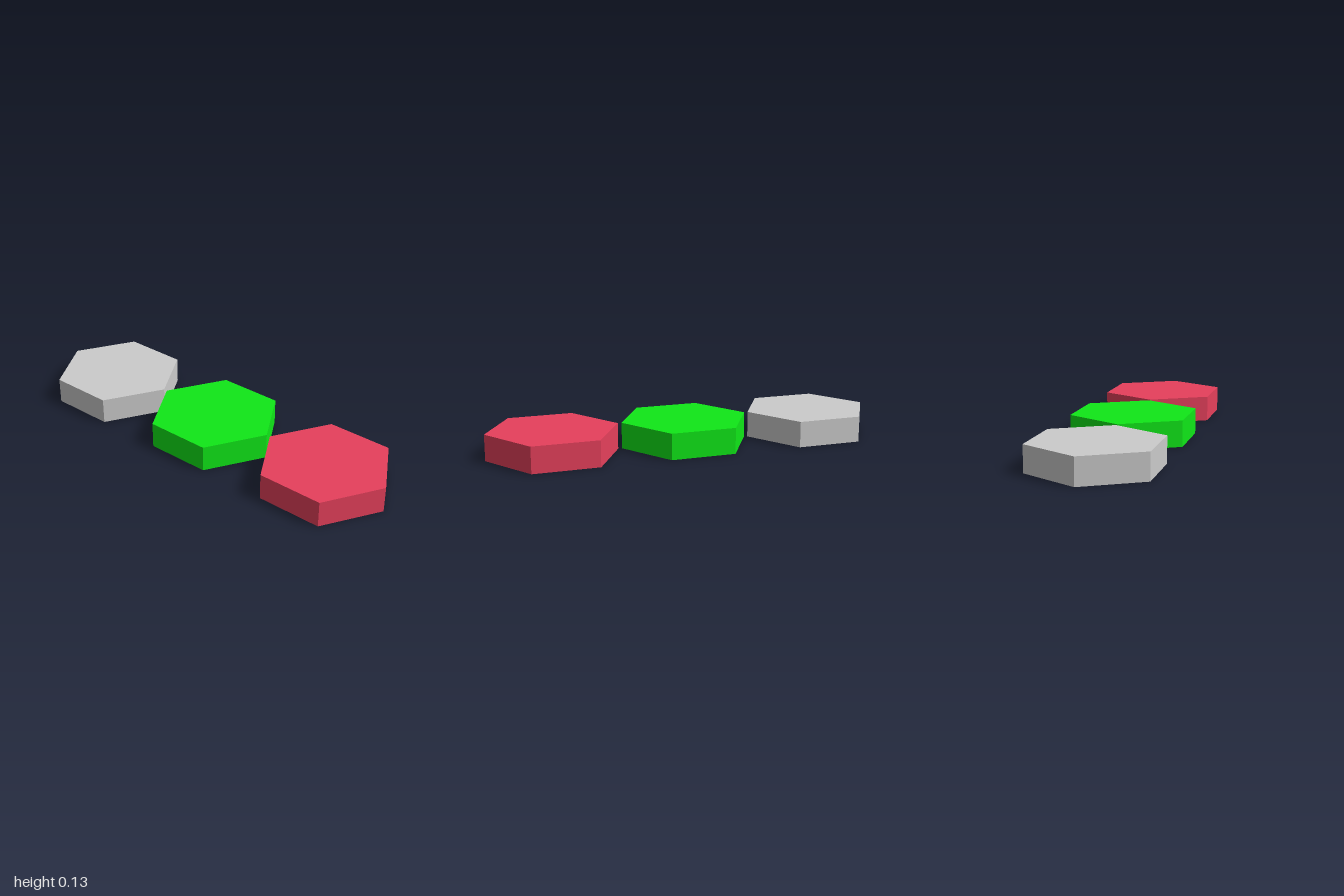
import * as THREE from 'three';

const RADIUS = 0.327;
const HEIGHT = 0.13;
const SPACING = 0.673;

export function createModel() {
  const model = new THREE.Group();
  model.name = 'hexagonTiles';

  // One hexagonal prism, with corners pointing along z
  const tile = new THREE.CylinderGeometry(RADIUS, RADIUS, HEIGHT, 6);
  tile.translate(0, HEIGHT / 2, 0);

  // Row of tiles from back to front
  const tiles = [
    ['backTile', 0xcccccc],
    ['middleTile', 0x10e818],
    ['frontTile', 0xe6405c],
  ];
  tiles.forEach(([name, color], i) => {
    const material = new THREE.MeshStandardMaterial({ color, flatShading: true });
    const mesh = new THREE.Mesh(tile, material);
    mesh.name = name;
    mesh.position.z = (i - 1) * SPACING;
    model.add(mesh);
  });

  return model;
}
